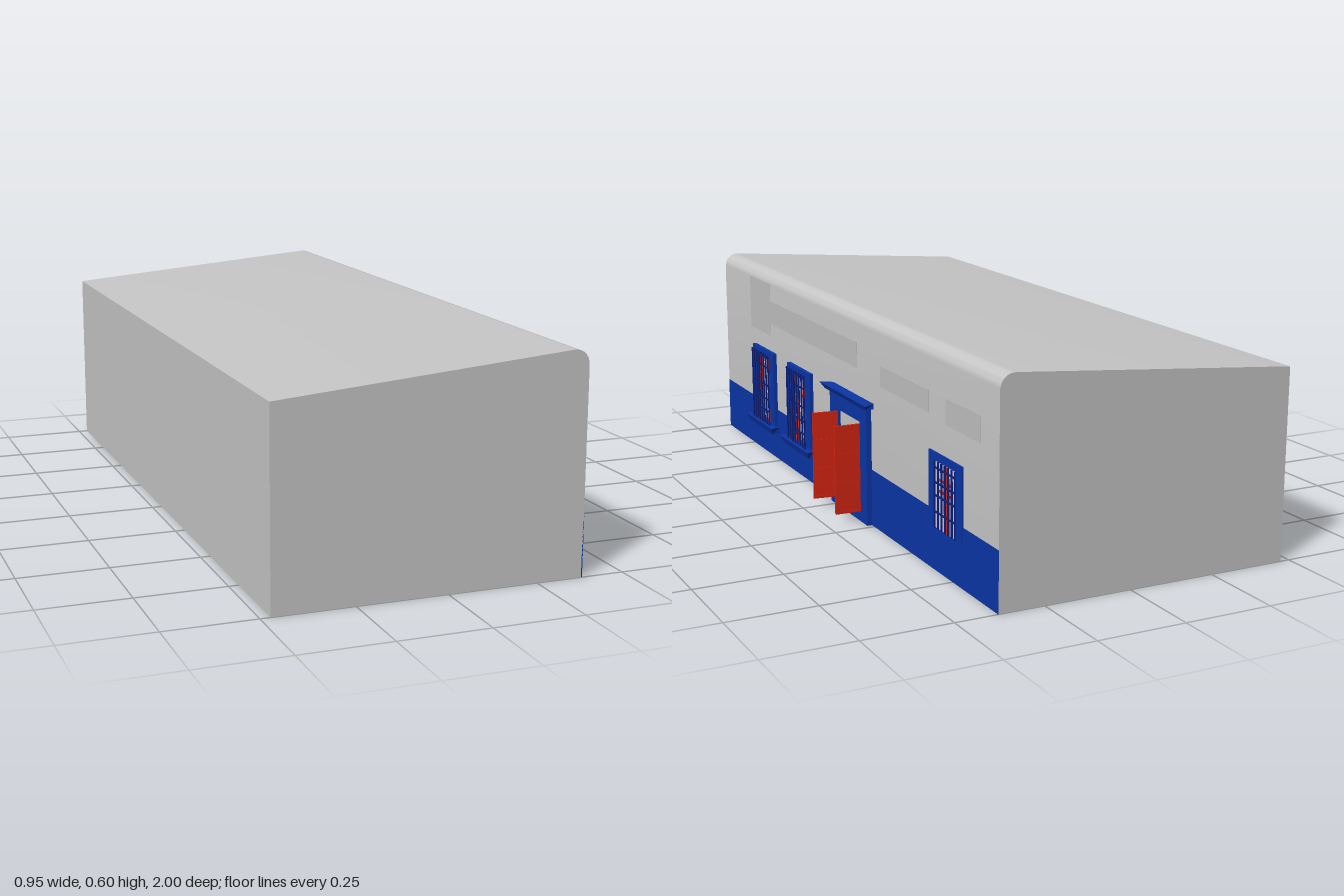
import * as THREE from 'three';
import { toCreasedNormals } from 'three/addons/utils/BufferGeometryUtils.js';

const mat = (name, color) => {
  const m = new THREE.MeshStandardMaterial({ color });
  m.name = name;
  return m;
};

const WALL = 0.38; // x of the street wall

export function createModel() {
  const plaster = mat('grey plaster', 0xc6c6c6);
  const patchGrey = mat('aged plaster', 0xc0c0c0);
  const blue = mat('blue paint', 0x0c36a8);
  const darkBlue = mat('dark blue iron', 0x0a1f78);
  const red = mat('red wood', 0xd62612);
  const pane = mat('pale glass', 0xd2cef0);

  const house = new THREE.Group();
  house.name = 'house';

  // Box given by its limits on each axis
  function box(parent, name, m, x0, x1, y0, y1, z0, z1) {
    const mesh = new THREE.Mesh(new THREE.BoxGeometry(x1 - x0, y1 - y0, z1 - z0), m);
    mesh.position.set((x0 + x1) / 2, (y0 + y1) / 2, (z0 + z1) / 2);
    mesh.name = name;
    parent.add(mesh);
    return mesh;
  }

  // Moulding whose ends and front draw in towards the wall and the bottom
  function moulding(parent, name, x1, y0, y1, z0, z1, inset) {
    const mesh = box(parent, name, blue, WALL, x1, y0, y1, z0, z1);
    const p = mesh.geometry.attributes.position;
    for (let i = 0; i < p.count; i++) {
      const low = p.getY(i) < 0, inner = p.getX(i) < 0;
      if (low || inner) p.setZ(i, p.getZ(i) - Math.sign(p.getZ(i)) * inset);
      if (low && !inner) p.setX(i, p.getX(i) - 0.008);
    }
    mesh.geometry = mesh.geometry.toNonIndexed();
    mesh.geometry.computeVertexNormals();
  }

  // Four bars around an opening
  function frame(parent, name, m, x0, x1, y0, y1, z0, z1, w, top = w, bottom = w) {
    box(parent, name + 'Side', m, x0, x1, y0, y1, z0, z0 + w);
    box(parent, name + 'Side', m, x0, x1, y0, y1, z1 - w, z1);
    box(parent, name + 'Top', m, x0, x1, y1 - top, y1, z0 + w, z1 - w);
    if (bottom) box(parent, name + 'Bottom', m, x0, x1, y0, y0 + bottom, z0 + w, z1 - w);
  }

  // Iron grille with evenly spread bars
  function grille(parent, x, y0, y1, z0, z1, cols, rows) {
    const r = 0.002;
    for (let i = 0; i < cols; i++) {
      const z = z0 + ((z1 - z0) * i) / (cols - 1);
      box(parent, 'grilleBar', darkBlue, x - r, x + r, y0, y1, z - r, z + r);
    }
    for (const y of rows) {
      box(parent, 'grilleCrossbar', darkBlue, x - r, x + r, y - r, y + r, z0, z1);
    }
  }

  // Body: end profile with a sloping roof and a rounded parapet
  const s = new THREE.Shape();
  s.moveTo(-0.473, 0);
  s.lineTo(WALL, 0);
  s.lineTo(WALL, 0.56);
  s.bezierCurveTo(WALL, 0.588, 0.362, 0.606, 0.335, 0.604);
  s.lineTo(-0.473, 0.535);
  s.closePath();
  const bodyGeo = new THREE.ExtrudeGeometry(s, { depth: 2, bevelEnabled: false, curveSegments: 10 });
  bodyGeo.translate(0, 0, -1);
  const body = new THREE.Mesh(toCreasedNormals(bodyGeo, 0.5), plaster);
  body.name = 'body';
  house.add(body);

  // Painted base band and faint plaster patches
  box(house, 'baseBand', blue, WALL - 0.002, WALL + 0.001, 0, 0.165, -1, 1);
  const patches = [[0.4, 0.57, 0.57, 0.75], [0.44, 0.515, -0.14, 0.57],
    [0.42, 0.48, -0.61, -0.3], [0.41, 0.48, -0.9, -0.71]];
  for (const [y0, y1, z0, z1] of patches) {
    box(house, 'plasterPatch', patchGrey, WALL - 0.002, WALL + 0.0008, y0, y1, z0, z1);
  }

  // Two tall windows with sills
  for (const z of [0.615, 0.3]) {
    const w = new THREE.Group();
    w.name = 'tallWindow';
    house.add(w);
    box(w, 'pane', pane, WALL, WALL + 0.002, 0.11, 0.33, z - 0.06, z + 0.06);
    frame(w, 'sash', red, WALL, WALL + 0.005, 0.108, 0.325, z - 0.058, z + 0.058, 0.008);
    for (const dz of [-0.025, 0.025]) {
      box(w, 'mullion', red, WALL, WALL + 0.005, 0.11, 0.325, z + dz - 0.007, z + dz + 0.007);
    }
    frame(w, 'surround', blue, WALL, WALL + 0.012, 0.1, 0.35, z - 0.095, z + 0.095, 0.04, 0.028, 0.01);
    grille(w, 0.402, 0.11, 0.342, z - 0.072, z + 0.072, 8, [0.155, 0.195, 0.24, 0.3, 0.335]);
    moulding(w, 'sill', 0.413, 0.088, 0.11, z - 0.12, z + 0.12, 0.014);
  }

  // Small square window
  const small = new THREE.Group();
  small.name = 'smallWindow';
  house.add(small);
  const sz = -0.713;
  box(small, 'pane', pane, WALL, WALL + 0.002, 0.12, 0.305, sz - 0.062, sz + 0.062);
  box(small, 'mullion', red, WALL, WALL + 0.003, 0.12, 0.3, sz - 0.009, sz + 0.009);
  for (const y of [0.225, 0.255]) {
    box(small, 'crossMullion', red, WALL, WALL + 0.003, y - 0.004, y + 0.004, sz - 0.04, sz + 0.04);
  }
  frame(small, 'surround', blue, WALL, WALL + 0.005, 0.12, 0.325, sz - 0.096, sz + 0.096, 0.036, 0.022, 0);
  grille(small, WALL + 0.005, 0.12, 0.303, sz - 0.06, sz + 0.06, 7, [0.165, 0.21, 0.245, 0.285]);

  // Doorway: surround, threshold, cornice and the plain opening
  const door = new THREE.Group();
  door.name = 'doorway';
  house.add(door);
  box(door, 'opening', plaster, WALL, WALL + 0.002, 0.028, 0.296, -0.19, -0.014);
  frame(door, 'surround', blue, WALL, 0.396, 0, 0.348, -0.235, 0.032, 0.047, 0.052, 0.028);
  moulding(door, 'cornice', 0.415, 0.345, 0.361, -0.275, 0.064, 0.022);

  // Open door leaves: thin panel with raised stiles and rails
  function leaf(z, angle) {
    const g = new THREE.Group();
    g.name = 'doorLeaf';
    g.position.set(0.395, 0, z);
    g.rotation.y = angle;
    const L = 0.077, t = 0.003;
    box(g, 'leafPanel', red, 0, L, 0.03, 0.29, -0.0015, 0.0015);
    for (const x of [0, L - 0.009]) box(g, 'stile', red, x, x + 0.009, 0.03, 0.29, -t, t);
    for (const y of [0.034, 0.12, 0.205, 0.286]) {
      box(g, 'rail', red, 0.009, L - 0.009, y - 0.004, y + 0.004, -t, t);
    }
    door.add(g);
  }
  leaf(-0.186, -0.03);
  leaf(-0.024, -0.11);

  return house;
}
